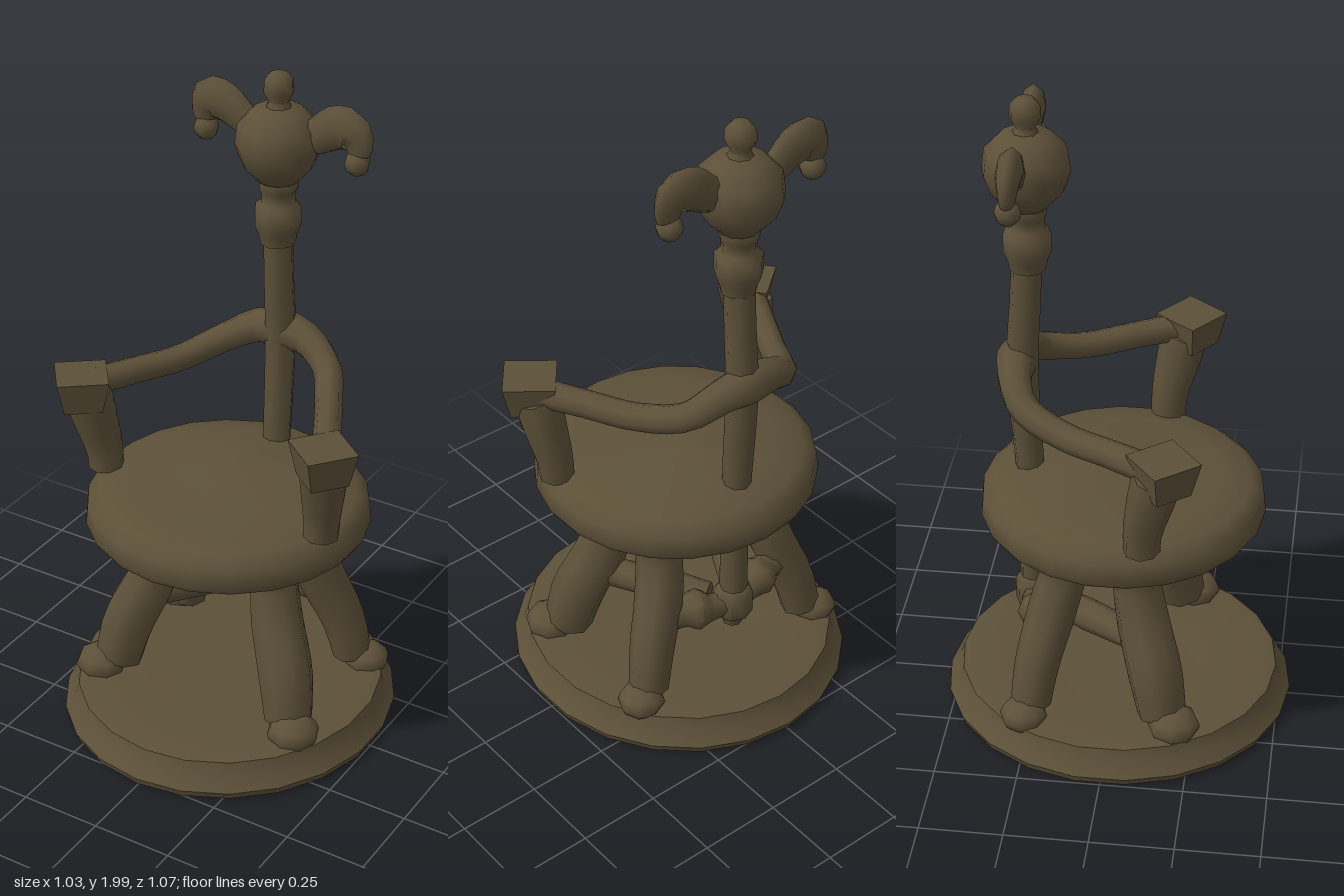
import * as THREE from 'three';
import { toCreasedNormals } from 'three/addons/utils/BufferGeometryUtils.js';

const V = (a) => new THREE.Vector3(...a);

export function createModel() {
  const root = new THREE.Group();
  const bronze = new THREE.MeshStandardMaterial({ color: 0x5c5038 });
  bronze.name = 'dark bronze';

  const add = (name, geometry, crease = 1.05) => {
    const mesh = new THREE.Mesh(toCreasedNormals(geometry, crease), bronze);
    mesh.name = name;
    root.add(mesh);
    return mesh;
  };

  // Turned shape from [radius, y] pairs, bottom to top, with an optional rule for its vertices
  const turned = (name, profile, segments, crease, rule) => {
    const g = new THREE.LatheGeometry(profile.map(([r, y]) => new THREE.Vector2(r, y)), segments);
    if (rule) {
      const p = g.attributes.position;
      for (let i = 0; i < p.count; i++) p.setY(i, rule(p.getX(i), p.getY(i), p.getZ(i)));
    }
    return add(name, g, crease);
  };

  // Capped limb swept along points, with radii spread evenly over the points
  const limb = (name, points, radii, sides = 8, steps = 12) => {
    const curve = new THREE.CatmullRomCurve3(points.map(V));
    const g = new THREE.TubeGeometry(curve, steps, 1, sides, false);
    const p = g.attributes.position;
    const v = new THREE.Vector3();
    const centres = [];
    for (let i = 0; i <= steps; i++) centres.push(curve.getPointAt(i / steps));
    for (let i = 0; i <= steps; i++) {
      const end = i === 0 || i === steps;
      const t = curve.getUtoTmapping(i / steps) * (radii.length - 1);
      const k = Math.min(Math.floor(t), radii.length - 2);
      const r = THREE.MathUtils.lerp(radii[k], radii[k + 1], t - k);
      const c = centres[i === 0 ? 1 : i === steps ? steps - 1 : i];
      for (let j = 0; j <= sides; j++) {
        const n = i * (sides + 1) + j;
        v.fromBufferAttribute(p, n).sub(centres[i]).multiplyScalar(end ? 0 : r).add(c);
        p.setXYZ(n, v.x, v.y, v.z);
      }
    }
    return add(name, g);
  };

  const ball = (name, position, radius, scale = [1, 1, 1]) => {
    const mesh = add(name, new THREE.SphereGeometry(radius, 8, 6), 1);
    mesh.position.set(...position);
    mesh.scale.set(...scale);
    return mesh;
  };

  // Round base, hollowed a little underneath
  const base = turned('base', [
    [0, 0.04], [0.3, 0.035], [0.46, 0.008], [0.5, 0.012], [0.508, 0.035], [0.478, 0.075],
    [0.465, 0.115], [0.44, 0.12], [0.25, 0.11], [0, 0.105],
  ], 22, 0.8);
  base.scale.z = 1.055;

  // Seat with rounded edge, swelling gently in front of the post
  const seat = turned('seat', [
    [0, 0.74], [0.28, 0.73], [0.38, 0.685], [0.415, 0.675], [0.428, 0.695], [0.422, 0.755],
    [0.385, 0.788], [0.3, 0.8], [0.2, 0.802], [0.1, 0.803], [0, 0.804],
  ], 22, 0.8, (x, y, z) => (y < 0.78 ? y : y + 0.034 * Math.max(0, 1 - Math.hypot(x, z + 0.1) / 0.3)));
  seat.position.z = 0.012;

  // Back post with collar, gently bent
  limb('backPost',
    [[0, 0.28, -0.265], [0, 0.7, -0.265], [0, 1.15, -0.285], [0, 1.4, -0.27], [0, 1.7, -0.26]],
    [0.042, 0.042, 0.048, 0.045, 0.045], 8, 16);
  const collar = turned('postCollar', [
    [0, 1.475], [0.052, 1.475], [0.058, 1.505], [0.07, 1.535], [0.07, 1.59], [0.052, 1.605],
    [0.05, 1.635], [0.058, 1.65], [0.058, 1.68], [0.045, 1.71], [0, 1.71],
  ], 9);
  collar.position.z = -0.262;
  const hub = turned('postHub', [
    [0, 0.255], [0.03, 0.265], [0.035, 0.295], [0.06, 0.31], [0.06, 0.385], [0.045, 0.405], [0, 0.405],
  ], 8);
  hub.position.z = -0.262;

  // Finial head and top knob
  const head = turned('finialHead', [
    [0, 1.668], [0.06, 1.675], [0.105, 1.725], [0.126, 1.785], [0.118, 1.845], [0.075, 1.89], [0, 1.91],
  ], 12);
  head.position.z = -0.26;
  const knob = turned('finialKnob', [
    [0.05, 1.88], [0.028, 1.915], [0.045, 1.945], [0.043, 1.98], [0.025, 2], [0, 2],
  ], 8);
  knob.position.z = -0.26;

  // Arm rail passing behind the post
  const halfRail = [
    [0.08, 1.165, -0.295], [0.175, 1.115, -0.255], [0.255, 1.08, -0.13], [0.33, 1.08, 0.01], [0.41, 1.08, 0.16],
  ];
  const mirrored = halfRail.map(([x, y, z]) => [-x, y, z]).reverse();
  limb('armRail', [...mirrored, [0, 1.17, -0.3], ...halfRail],
    [0.044, 0.041, 0.041, 0.044, 0.052, 0.062, 0.052, 0.044, 0.041, 0.041, 0.044], 8, 32);

  for (const s of [1, -1]) {
    const side = s > 0 ? 'left' : 'right';
    const m = ([x, y, z]) => [s * x, y, z];
    const pair = (name, points, radii, sides, steps) =>
      limb(side + name, points.map(m), radii, sides, steps);

    // Thick drooping horns with hanging beads
    const horn = pair('Horn',
      [[0.05, 1.795, 0], [0.12, 1.83, 0], [0.185, 1.87, 0], [0.23, 1.872, 0], [0.252, 1.84, 0], [0.252, 1.785, 0]],
      [0.045, 0.052, 0.066, 0.066, 0.05, 0.03], 8, 14);
    horn.scale.z = 0.56;
    horn.position.z = -0.272;
    ball(side + 'HornBead', m([0.25, 1.778, -0.272]), 0.038);

    // Arm support and blocky hand rest
    pair('ArmSupport',
      [[0.37, 0.74, 0.11], [0.375, 0.84, 0.11], [0.392, 0.97, 0.135], [0.405, 1.1, 0.165]],
      [0.052, 0.055, 0.068, 0.075], 8, 8);
    const rest = add(side + 'HandRest', new THREE.CylinderGeometry(0.108, 0.08, 0.105, 4), 0.7);
    rest.position.set(s * 0.408, 1.07, 0.172);
    rest.rotation.y = s * 0.12;

    // Curved front and rear legs with feet
    pair('FrontLeg',
      [[0.235, 0.75, 0.115], [0.198, 0.6, 0.075], [0.22, 0.44, 0.095], [0.28, 0.28, 0.14], [0.315, 0.09, 0.175]],
      [0.1, 0.07, 0.08, 0.085, 0.07], 8, 12);
    pair('RearLeg',
      [[0.225, 0.75, -0.17], [0.19, 0.6, -0.14], [0.215, 0.44, -0.175], [0.275, 0.28, -0.215], [0.315, 0.09, -0.24]],
      [0.09, 0.068, 0.074, 0.068, 0.058], 8, 12);
    ball(side + 'FrontFoot', m([0.345, 0.135, 0.205]), 0.08, [1, 0.68, 1]);
    ball(side + 'RearFoot', m([0.345, 0.13, -0.25]), 0.072, [1, 0.68, 1]);

    // Beaded rear stretchers and plain ones to the front legs
    pair('RearStretcher',
      [[0.02, 0.35, -0.26], [0.08, 0.35, -0.25], [0.12, 0.355, -0.235], [0.16, 0.355, -0.22], [0.25, 0.35, -0.2]],
      [0.035, 0.042, 0.066, 0.045, 0.042], 8, 12);
    pair('FrontStretcher',
      [[0.02, 0.35, -0.25], [0.12, 0.355, -0.09], [0.24, 0.36, 0.1]],
      [0.036, 0.05, 0.042], 8, 8);
  }
  return root;
}
